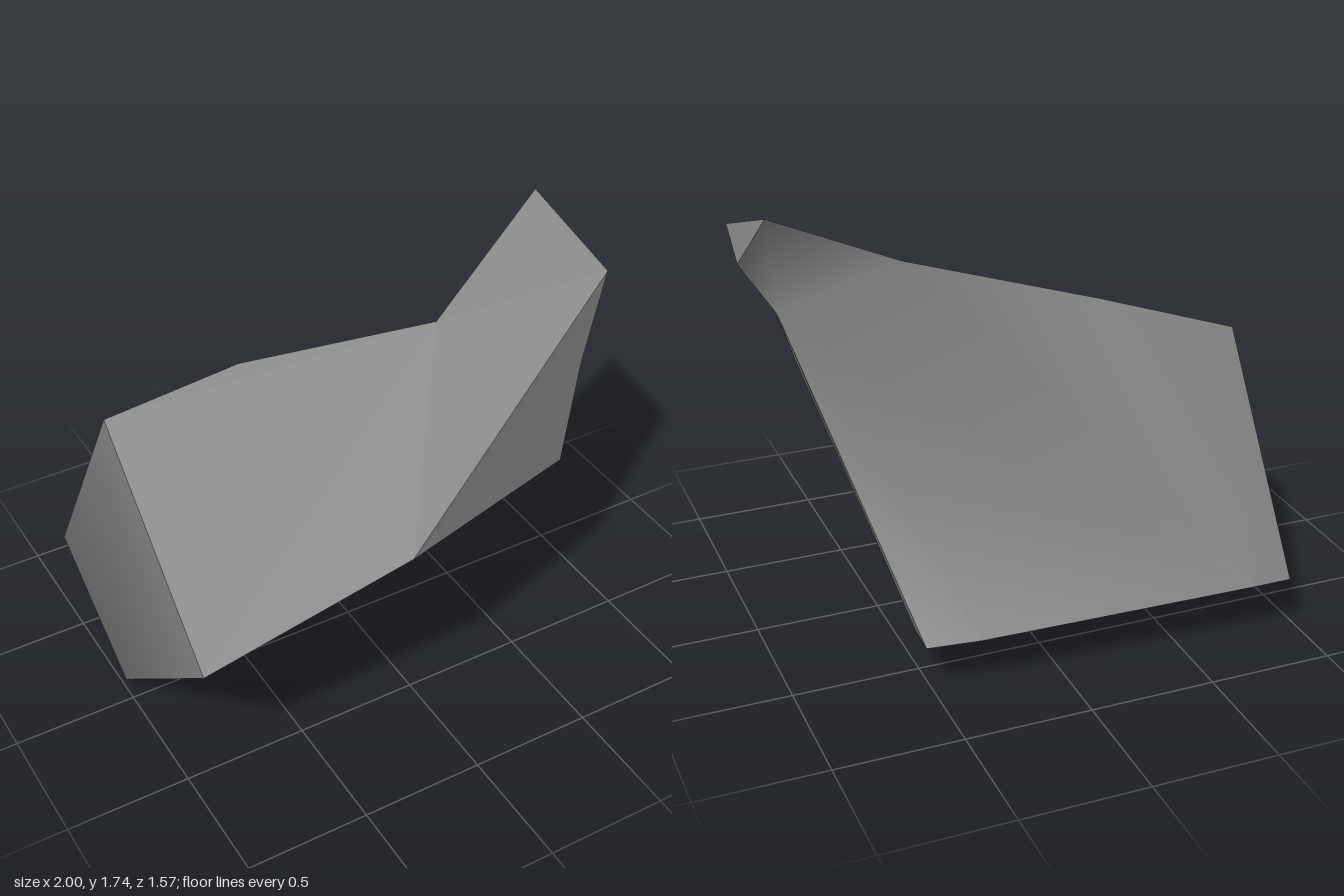
import * as THREE from 'three';
import { toCreasedNormals } from 'three/addons/utils/BufferGeometryUtils.js';

// Corners of the broken stone shard
const P = {
  A: [-0.99, 0.70, 0.69], B: [-0.18, 0.97, 0.78], C: [0.66, 0.91, 0.51],
  T: [0.79, 1.27, 0.42], D: [0.95, 1.585, 0.33], E: [0.91, 1.735, -0.11],
  F: [1.0, 1.55, -0.03], G: [0.33, 1.43, 0.10], H: [-0.36, 1.29, -0.21],
  I: [-0.88, 1.14, -0.33], J: [0.47, 0.095, -0.38], K: [-0.91, 0, -0.13],
  L: [-1.0, 0.05, -0.06], O: [-0.945, 0.09, -0.37], R: [-0.94, 0.24, -0.79],
  S: [-0.78, 0.24, -0.79], N: [0.33, 0.22, -0.735], M: [0.53, 0.20, -0.68],
  Q: [0.82, 1.27, 0.14],
};

// Each string is one polygon, fanned from its first corner
function polygons(faces, crease) {
  const pos = [];
  for (const face of faces) {
    for (let i = 1; i < face.length - 1; i++) {
      pos.push(...P[face[0]], ...P[face[i]], ...P[face[i + 1]]);
    }
  }
  const geo = new THREE.BufferGeometry();
  geo.setAttribute('position', new THREE.Float32BufferAttribute(pos, 3));
  geo.computeVertexNormals();
  return crease ? toCreasedNormals(geo, crease) : geo;
}

export function createModel() {
  const group = new THREE.Group();
  group.name = 'stoneShard';
  const stone = new THREE.MeshStandardMaterial({ color: 0x808080 });
  stone.name = 'grey stone';

  const add = (name, faces, crease) => {
    const mesh = new THREE.Mesh(polygons(faces, crease), stone);
    mesh.name = name;
    group.add(mesh);
  };

  // Flat broken faces
  add('topFace', ['GHIABDE']);
  add('frontBevel', ['BCTD']);
  add('frontFace', ['BALKJC']);
  add('bottomFace', ['KORSNMJ']);
  add('tipFace', ['DFE']);

  // Worn sides with soft shading: right side, back slope, overhung wall, left end
  add('wornSides', [
    'DTQF', 'TCQ', 'QCJM',
    'QMNS',
    'QGEF', 'QSG', 'SHG', 'SIH', 'SRI',
    'RLI', 'LAI', 'ROL', 'OKL',
  ], 1.3);
  return group;
}
